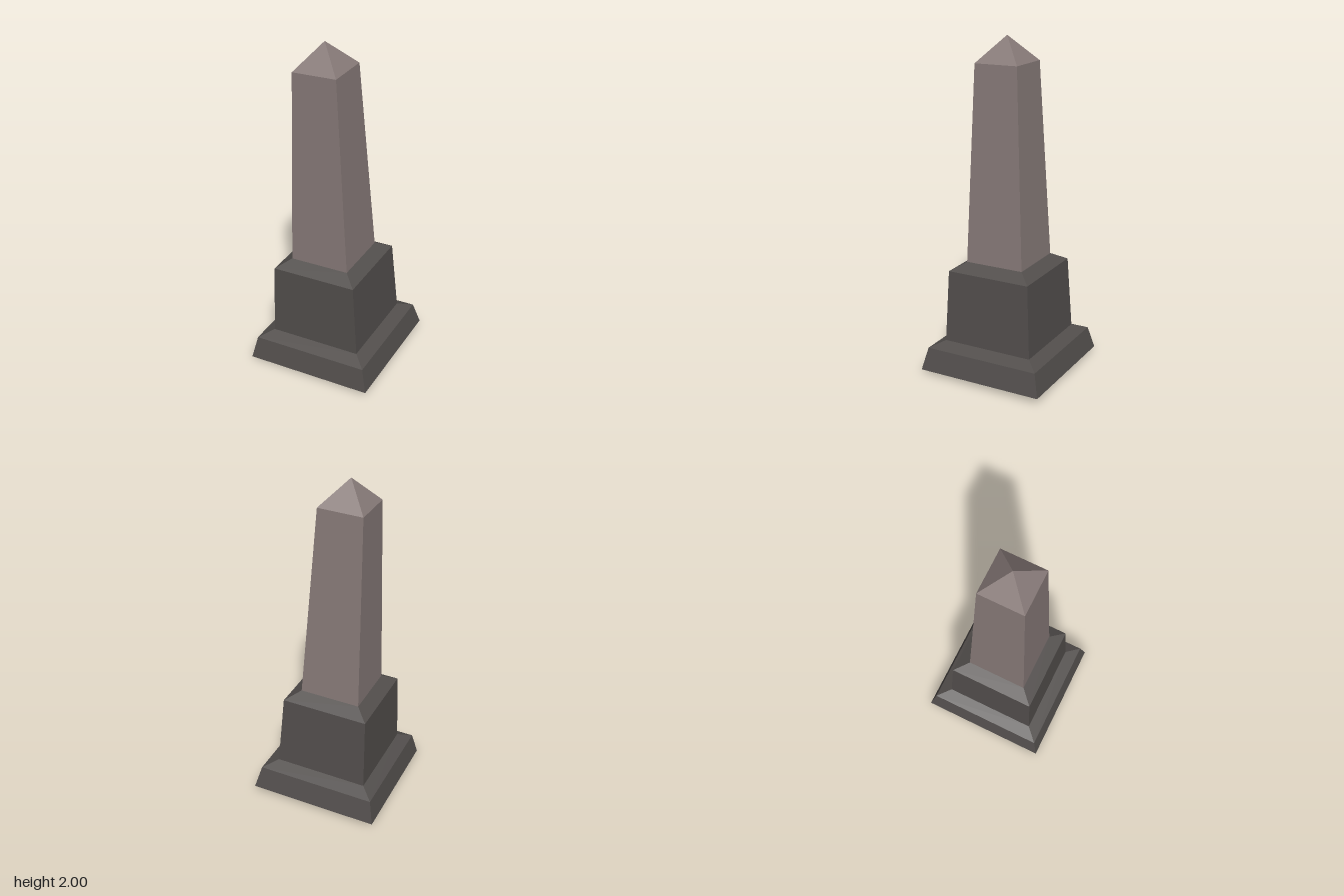
import * as THREE from 'three';

export function createModel() {
  const darkStone = new THREE.MeshStandardMaterial({ color: 0x524e4c, side: THREE.DoubleSide, flatShading: true });
  const paleStone = new THREE.MeshStandardMaterial({ color: 0x877a78, side: THREE.DoubleSide, flatShading: true });

  const model = new THREE.Group();
  model.name = 'obelisk';

  // Open four-sided tapered band between two heights, given half widths
  function band(name, y0, half0, y1, half1, material) {
    const geo = new THREE.CylinderGeometry(half1 * Math.SQRT2, half0 * Math.SQRT2, y1 - y0, 4, 1, true)
      .rotateY(Math.PI / 4)
      .translate(0, (y0 + y1) / 2, 0)
      .toNonIndexed();
    geo.computeVertexNormals();
    const mesh = new THREE.Mesh(geo, material);
    mesh.name = name;
    model.add(mesh);
  }

  // Hollow stepped base, open underneath
  band('plinth', 0, 0.393, 0.137, 0.36, darkStone);
  band('plinthBevel', 0.137, 0.36, 0.173, 0.283, darkStone);
  band('pedestal', 0.173, 0.283, 0.613, 0.262, darkStone);
  band('pedestalBevel', 0.613, 0.262, 0.66, 0.183, darkStone);

  // Tapered shaft and pyramid tip
  band('shaft', 0.66, 0.183, 1.831, 0.135, paleStone);
  band('tip', 1.831, 0.135, 1.981, 0, paleStone);

  // The whole monument leans slightly to its right and forward
  model.rotation.set(0.0245, -0.005, 0.027);
  model.position.set(0, 0.0205, -0.002);

  const root = new THREE.Group();
  root.name = 'leaningObelisk';
  root.add(model);
  return root;
}
